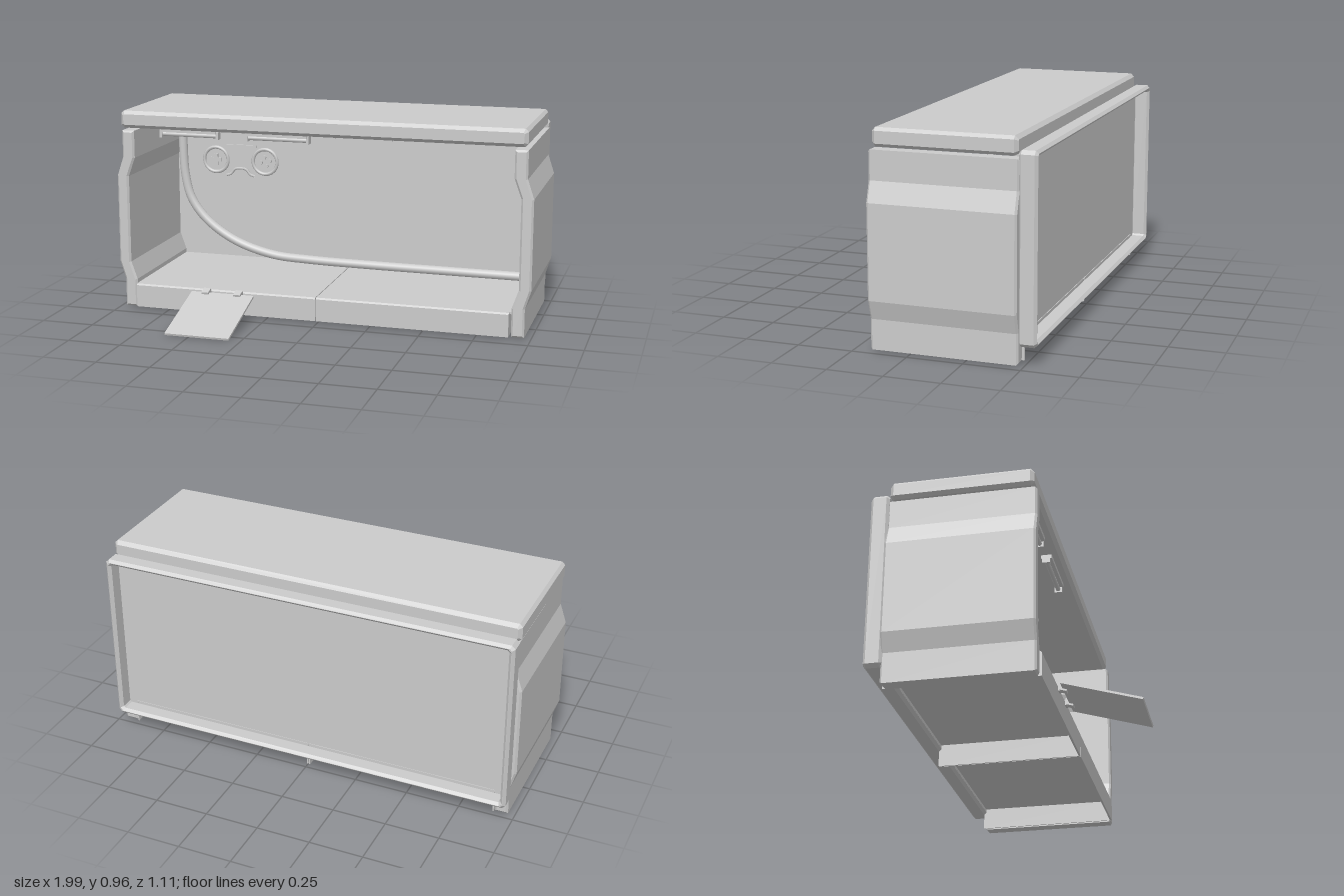
import * as THREE from 'three';

export function createModel() {
  const model = new THREE.Group();
  const mat = new THREE.MeshStandardMaterial({ color: 0xcccccc, side: THREE.DoubleSide });

  const add = (name, geo, x = 0, y = 0, z = 0, parent = model) => {
    const m = new THREE.Mesh(geo, mat);
    m.name = name;
    m.position.set(x, y, z);
    parent.add(m);
    return m;
  };
  // Box given by its limits
  const box = (name, x0, x1, y0, y1, z0, z1, parent) =>
    add(name, new THREE.BoxGeometry(x1 - x0, y1 - y0, z1 - z0),
      (x0 + x1) / 2, (y0 + y1) / 2, (z0 + z1) / 2, parent);

  // Rectangle with cut corners
  const cutRect = (x0, x1, y0, y1, c) => [
    [x0 + c, y0], [x1 - c, y0], [x1, y0 + c], [x1, y1 - c],
    [x1 - c, y1], [x0 + c, y1], [x0, y1 - c], [x0, y0 + c],
  ].map(([x, y]) => new THREE.Vector2(x, y));

  // Outline extruded from z0 to z1 with chamfered edges
  const chamfered = (shape, z0, z1, b) => new THREE.ExtrudeGeometry(shape, {
    depth: z1 - z0 - 2 * b, bevelEnabled: true, bevelThickness: b, bevelSize: b,
    bevelOffset: -b, bevelSegments: 1, curveSegments: 24,
  }).translate(0, 0, z0 + b);

  // Roof slab
  add('roof', chamfered(new THREE.Shape(cutRect(-0.978, 0.962, 0.88, 0.962, 0.014)), -0.472, 0.164, 0.016));

  // Back panel: a shallow tray, open to the rear
  const rim = new THREE.Shape(cutRect(-0.978, 0.962, 0.085, 0.905, 0.016));
  rim.holes.push(new THREE.Path(cutRect(-0.952, 0.936, 0.111, 0.879, 0.008)));
  add('backRim', chamfered(rim, -0.555, -0.473, 0.012));
  box('backWall', -0.962, 0.946, 0.101, 0.889, -0.482, -0.474);

  // Bulged side panels
  const profile = [
    [0.967, 0.87], [0.967, 0.74], [0.997, 0.65], [0.997, 0.23], [0.97, 0.145], [0.97, 0.01],
    [0.91, 0.01], [0.91, 0.145], [0.94, 0.23], [0.94, 0.65], [0.907, 0.74], [0.907, 0.87],
  ];
  for (const [name, s] of [['leftSidePanel', 1], ['rightSidePanel', -1]]) {
    const shape = new THREE.Shape(profile.map(([x, y]) => new THREE.Vector2(s * x, y)));
    add(name, chamfered(shape, -0.48, 0.176, 0.009));
  }

  // Two floor trays, open underneath and at the rear
  for (const [name, x0, x1] of [['rightFloor', -0.908, -0.01], ['leftFloor', -0.006, 0.9]]) {
    const floor = new THREE.Group();
    floor.name = name;
    model.add(floor);
    box('floorTop', x0, x1, 0.115, 0.125, -0.485, 0.176, floor);
    box('floorFront', x0, x1, 0.012, 0.118, 0.175, 0.184, floor);
    for (const x of [x0, x1 - 0.006]) box('floorEnd', x, x + 0.006, 0.012, 0.118, -0.485, 0.176, floor);
    // sloped front edge
    const lip = new THREE.Shape([[0, 0], [0.008, -0.007], [0, -0.007]].map(([a, b]) => new THREE.Vector2(a, b)));
    const edge = new THREE.ExtrudeGeometry(lip, { depth: x1 - x0, bevelEnabled: false }).rotateY(-Math.PI / 2);
    add('floorLip', edge, x1, 0.125, 0.176, floor);
  }

  // Strips covering the outer floor ends beneath the side panels' inner faces
  for (const s of [-1, 1]) box('floorFiller', s * 0.92 - 0.02, s * 0.92 + 0.02, 0.115, 0.125, -0.475, 0.16);

  // Cable running down the back and along the floor
  const cable = new THREE.CatmullRomCurve3([
    [-0.873, 0.875], [-0.872, 0.75], [-0.862, 0.56], [-0.83, 0.44], [-0.75, 0.335],
    [-0.6, 0.235], [-0.4, 0.174], [-0.2, 0.16], [0.1, 0.155], [0.5, 0.153], [0.915, 0.152],
  ].map(([x, y]) => new THREE.Vector3(x, y, -0.365)));
  add('cable', new THREE.TubeGeometry(cable, 80, 0.022, 12));

  // Strip lamps under the roof
  for (const [x0, x1, z] of [[-0.8, -0.505, 0.095], [-0.37, -0.06, 0.095], [0, 0.29, -0.095], [0.42, 0.735, -0.285]]) {
    const lamp = new THREE.Group();
    lamp.name = 'stripLamp';
    model.add(lamp);
    box('lampBase', x0 + 0.01, x1 - 0.01, 0.862, 0.881, z - 0.025, z + 0.025, lamp);
    add('lampTube', new THREE.CylinderGeometry(0.011, 0.011, x1 - x0 - 0.02, 12).rotateZ(Math.PI / 2),
      (x0 + x1) / 2, 0.851, z, lamp);
    for (const x of [x0, x1 - 0.012]) box('lampSocket', x, x + 0.012, 0.835, 0.872, z - 0.018, z + 0.018, lamp);
  }

  // Control pad relief on the back wall
  const pad = new THREE.Group();
  pad.name = 'controlPadRelief';
  pad.position.set(-0.602, 0.628, -0.47);
  model.add(pad);
  for (const s of [-1, 1]) {
    add('padRing', new THREE.TorusGeometry(0.064, 0.009, 6, 32), s * 0.132, 0, 0, pad);
  }
  box('crossBarWide', -0.162, -0.102, -0.011, 0.011, -0.006, 0.008, pad);
  box('crossBarTall', -0.143, -0.121, -0.03, 0.03, -0.006, 0.008, pad);
  for (const [dx, dy] of [[-0.024, -0.004], [0.024, 0.006], [-0.005, 0.022], [0.006, -0.021]]) {
    add('padButton', new THREE.CylinderGeometry(0.011, 0.011, 0.014, 12).rotateX(Math.PI / 2), 0.132 + dx, dy, 0, pad);
  }
  box('padTopLine', -0.09, 0.088, 0.07, 0.082, -0.006, 0.006, pad);
  const grip = new THREE.CatmullRomCurve3([
    [-0.075, -0.078], [-0.052, -0.07], [-0.03, -0.045], [0, -0.04], [0.03, -0.045], [0.052, -0.07], [0.075, -0.078],
  ].map(([x, y]) => new THREE.Vector3(x, y, 0)));
  add('padLowerLine', new THREE.TubeGeometry(grip, 30, 0.007, 6), 0, 0, 0, pad);

  // Lowered hatch on two hinges
  const a = Math.atan2(0.106, 0.352);
  const hatch = add('hatch', new THREE.BoxGeometry(0.31, 0.01, 0.366), -0.46, 0.06, 0.38);
  hatch.rotation.x = a;
  for (const x of [-0.542, -0.383]) {
    box('hingeMount', x - 0.015, x + 0.015, 0.1, 0.124, 0.178, 0.192);
    const arm = add('hingeArm', new THREE.BoxGeometry(0.034, 0.028, 0.042), x, 0.114, 0.204);
    arm.rotation.x = a;
  }
  return model;
}
